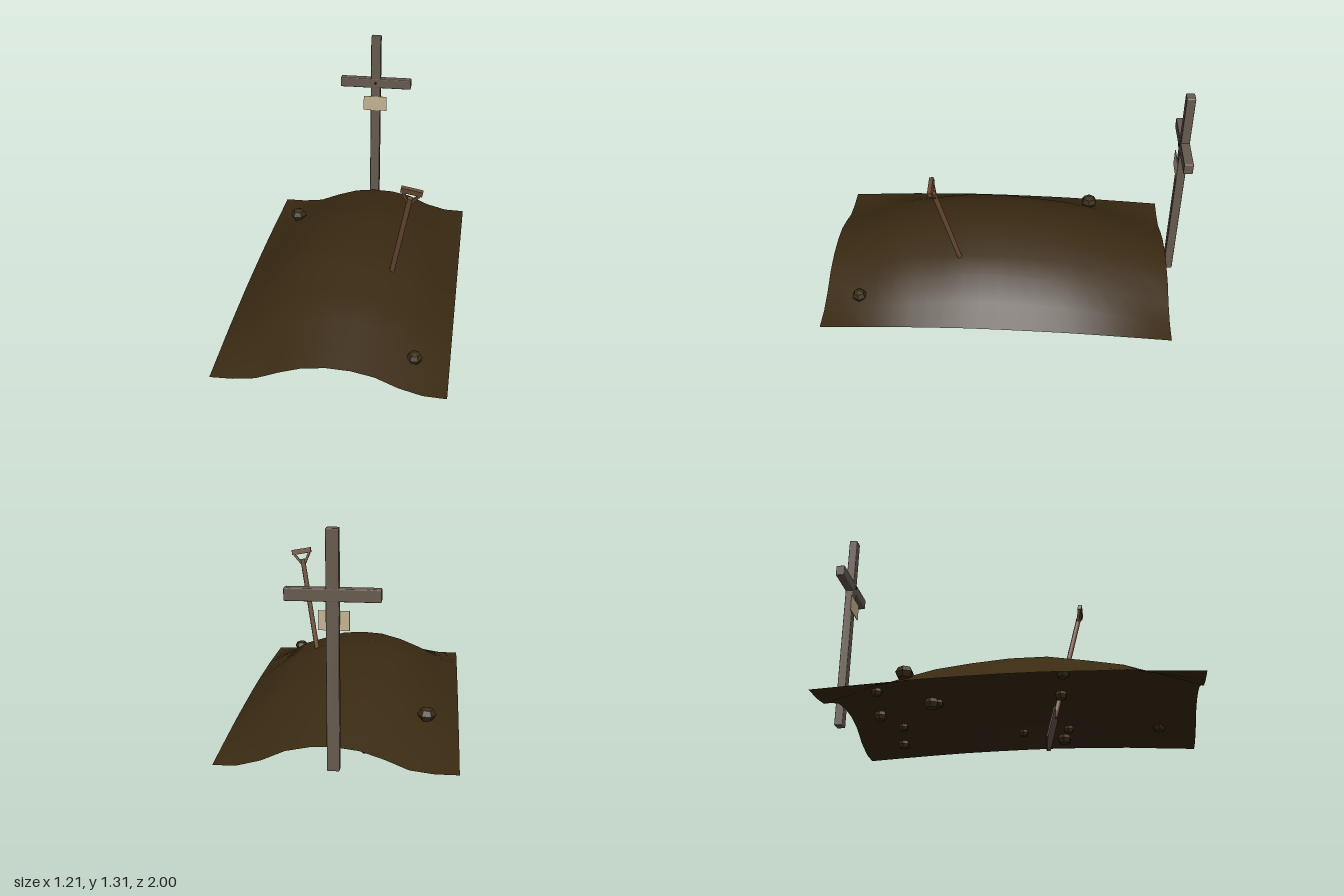
import * as THREE from 'three';
import { RoundedBoxGeometry } from 'three/addons/geometries/RoundedBoxGeometry.js';

const mat = (name, color, extra = {}) => {
  const m = new THREE.MeshStandardMaterial({ color, ...extra });
  m.name = name;
  return m;
};

// linear interpolation through evenly spaced samples, t in 0..1
function sample(list, t) {
  const f = THREE.MathUtils.clamp(t, 0, 1) * (list.length - 1);
  const i = Math.min(Math.floor(f), list.length - 2);
  return THREE.MathUtils.lerp(list[i], list[i + 1], f - i);
}

export function createModel() {
  const root = new THREE.Group();
  const soil = mat('soil', 0x3a2a12, { side: THREE.DoubleSide });
  const stone = mat('clod', 0x3a2c16, { flatShading: true });
  const wood = mat('grey wood', 0x665a4e);
  const nailMat = mat('nail iron', 0x1c1a18);
  const paper = mat('paper', 0xc4b492, { side: THREE.DoubleSide });
  const handleWood = mat('handle wood', 0x6b4b34);
  const metal = mat('blade metal', 0x66564c, { side: THREE.DoubleSide });

  const add = (parent, name, geometry, material, x = 0, y = 0, z = 0) => {
    const mesh = new THREE.Mesh(geometry, material);
    mesh.name = name;
    mesh.position.set(x, y, z);
    parent.add(mesh);
    return mesh;
  };

  // Mound: an open sheet, blending from a low end profile to a high middle one
  const endProfile = [0.115, 0.115, 0.13, 0.18, 0.22, 0.235, 0.23, 0.205, 0.15, 0.118, 0.115];
  const topProfile = [0.15, 0.235, 0.335, 0.385, 0.415, 0.42, 0.41, 0.365, 0.335, 0.24, 0.15];
  const rise = [0, 0.3, 0.57, 0.8, 0.92, 1, 1, 0.85, 0.68, 0.35, 0.03]; // back to front
  const sheet = new THREE.PlaneGeometry(1.21, 1.95, 10, 20);
  sheet.rotateX(-Math.PI / 2).translate(0, 0, 0.025);
  const p = sheet.attributes.position;
  for (let i = 0; i < p.count; i++) {
    const u = p.getX(i) / 1.21 + 0.5;
    const v = (p.getZ(i) + 0.95) / 1.95;
    p.setY(i, THREE.MathUtils.lerp(sample(endProfile, u), sample(topProfile, u), sample(rise, v)));
  }
  sheet.computeVertexNormals();
  add(root, 'mound', sheet, soil);

  // Clods lying on and under the mound: x, y, z, radius
  const clods = [
    [-0.435, 0.25, -0.51, 0.05], [0.425, 0.2, 0.8, 0.042], [-0.215, 0.16, -0.41, 0.044],
    [-0.135, 0.132, -0.705, 0.038], [-0.108, 0.215, 0.27, 0.036], [0, 0.24, -0.42, 0.033],
    [0.25, 0.145, 0.285, 0.032], [0.39, 0.135, 0.25, 0.042], [0.325, 0.16, 0.02, 0.03],
    [0.39, 0.14, -0.7, 0.036], [0.2, 0.18, -0.66, 0.03], [-0.35, 0.24, 0.3, 0.038],
    [-0.36, 0.18, -0.67, 0.032],
  ];
  clods.forEach(([x, y, z, r]) => {
    const clod = add(root, 'clod', new THREE.SphereGeometry(r, 6, 4), stone, x, y, z);
    clod.scale.y = 0.8;
  });

  // Wooden cross with a nail and a paper note
  const cross = new THREE.Group();
  cross.name = 'cross';
  root.add(cross);
  add(cross, 'post', new RoundedBoxGeometry(0.062, 1.18, 0.048, 1, 0.006), wood, 0, 0.72, -0.975);
  add(cross, 'crossbar', new RoundedBoxGeometry(0.452, 0.062, 0.05, 1, 0.006), wood, 0, 1, -0.975);
  add(cross, 'nail', new THREE.BoxGeometry(0.014, 0.014, 0.014), nailMat, 0, 1, -0.949);
  add(cross, 'paperNote', new THREE.BoxGeometry(0.148, 0.095, 0.004), paper, -0.001, 0.867, -0.945);

  // Shovel: built upright from its tip, then leaned
  const shovel = new THREE.Group();
  shovel.name = 'shovel';
  shovel.position.set(0.18, 0.003, 0.165);
  shovel.rotation.set(0.212, 0, -0.183, 'ZYX');
  root.add(shovel);

  const outline = new THREE.Shape();
  outline.moveTo(0, 0).lineTo(0.087, 0.045).lineTo(0.087, 0.24).lineTo(-0.087, 0.24).lineTo(-0.087, 0.045);
  const blade = new THREE.ExtrudeGeometry(outline, { depth: 0.006, bevelEnabled: false });
  add(shovel, 'shovelBlade', blade, metal, 0, 0, -0.003);
  add(shovel, 'shovelShaft', new THREE.CylinderGeometry(0.0145, 0.0145, 0.7, 8), handleWood, 0, 0.565, 0);
  for (const s of [-1, 1]) {
    const strut = add(shovel, 'gripStrut', new THREE.BoxGeometry(0.013, 0.08, 0.016), handleWood, s * 0.03, 0.922, 0);
    strut.rotation.z = -s * 0.55;
  }
  add(shovel, 'shovelGrip', new THREE.BoxGeometry(0.116, 0.03, 0.022), handleWood, 0, 0.962, 0);

  return root;
}
